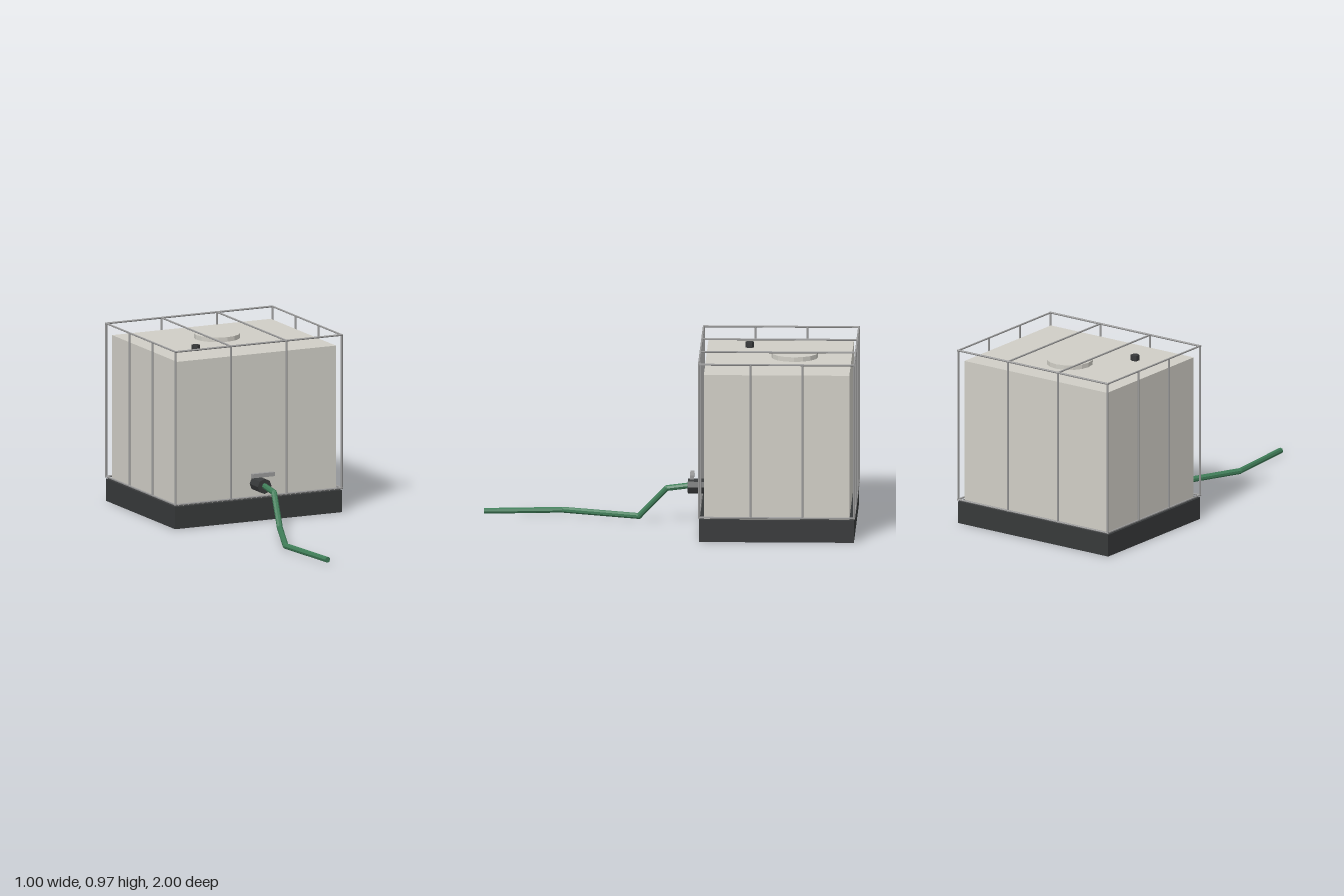
import * as THREE from 'three';

const CZ = -0.578; // centre of the tank and pallet in z

const material = (color) => new THREE.MeshStandardMaterial({ color, flatShading: true });

export function createModel() {
  const model = new THREE.Group();
  const plastic = material(0xd0cec6), dark = material(0x37393a);
  const steel = material(0x999999), green = material(0x3f7d58);

  const add = (name, geometry, mat, x = 0, y = 0, z = 0, parent = model) => {
    const mesh = new THREE.Mesh(geometry, mat);
    mesh.name = name;
    mesh.position.set(x, y, z);
    parent.add(mesh);
    return mesh;
  };

  // Round bar between two points
  const bar = (name, a, b, radius, sides, mat, parent) => {
    const dir = b.clone().sub(a);
    const mid = a.clone().add(b).multiplyScalar(0.5);
    const mesh = add(name, new THREE.CylinderGeometry(radius, radius, dir.length(), sides), mat, mid.x, mid.y, mid.z, parent);
    mesh.quaternion.setFromUnitVectors(new THREE.Vector3(0, 1, 0), dir.normalize());
  };

  // Pallet: four thin skirts under a deck, open below
  const pallet = new THREE.Group();
  pallet.name = 'pallet';
  model.add(pallet);
  for (const s of [-1, 1]) {
    add('palletSide', new THREE.BoxGeometry(0.015, 0.12, 0.826), dark, s * 0.49, 0.06, CZ, pallet);
    add('palletEnd', new THREE.BoxGeometry(0.965, 0.12, 0.015), dark, 0, 0.06, CZ + s * 0.4055, pallet);
  }
  add('deck', new THREE.BoxGeometry(0.965, 0.01, 0.796), dark, 0, 0.115, CZ, pallet);

  // Tank, filler lid and vent cap
  add('tank', new THREE.BoxGeometry(0.946, 0.785, 0.776), plastic, 0, 0.5125, CZ);
  add('lid', new THREE.CylinderGeometry(0.124, 0.124, 0.025, 16), plastic, 0, 0.9175, -0.662);
  add('ventCap', new THREE.CylinderGeometry(0.023, 0.023, 0.03, 6), dark, -0.25, 0.92, -0.415);

  // Steel cage: posts, horizontal rails and two top bars
  const cage = new THREE.Group();
  cage.name = 'cage';
  model.add(cage);
  const X = 0.495, Z = 0.414, LOW = 0.132, HIGH = 0.966, R = 0.0055;
  const rod = (name, x0, y0, z0, x1, y1, z1) =>
    bar(name, new THREE.Vector3(x0, y0, CZ + z0), new THREE.Vector3(x1, y1, CZ + z1), R, 6, steel, cage);
  for (const s of [-1, 1]) {
    for (const k of [-1, -1 / 3, 1 / 3, 1]) {
      rod('endPost', k * X, LOW - 0.005, s * Z, k * X, HIGH, s * Z);
      if (Math.abs(k) < 1) rod('sidePost', s * X, LOW, k * Z, s * X, HIGH, k * Z);
    }
    for (const y of [LOW, HIGH]) {
      rod('endRail', -X - R, y, s * Z, X + R, y, s * Z);
      rod('sideRail', s * X, y, -Z, s * X, y, Z);
    }
    rod('topBar', s * X / 3, HIGH, -Z, s * X / 3, HIGH, Z);
  }

  // Outlet valve with its handle
  const valve = add('valve', new THREE.CylinderGeometry(0.041, 0.041, 0.1, 8), dark, 0, 0.2, -0.142);
  valve.rotation.x = Math.PI / 2;
  add('valveHandle', new THREE.BoxGeometry(0.132, 0.022, 0.022), steel, 0, 0.259, -0.115);

  // Hose dropping to the ground in straight runs
  const hose = new THREE.Group();
  hose.name = 'hose';
  model.add(hose);
  const path = [[0, 0.203, -0.1], [0, 0.188, 0.02], [-0.04, 0.026, 0.17], [-0.21, 0.022, 0.58], [-0.17, 0.022, 1]]
    .map((p) => new THREE.Vector3(...p));
  for (let i = 1; i < path.length; i++) {
    bar('hoseRun', path[i - 1], path[i], 0.016, 8, green, hose);
    if (i < path.length - 1) add('hoseBend', new THREE.SphereGeometry(0.016, 8, 6), green, ...path[i].toArray(), hose);
  }

  return model;
}
